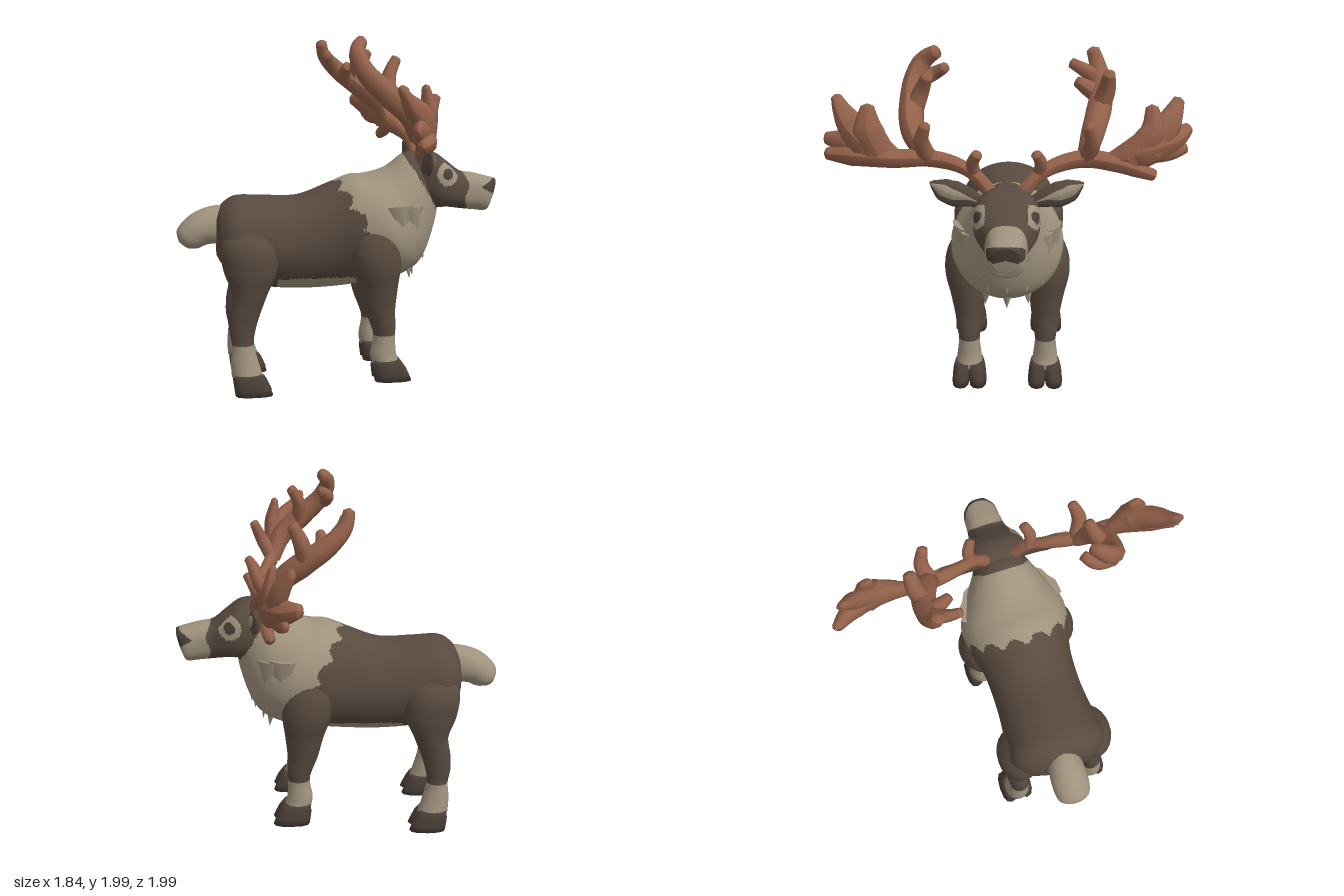
import * as THREE from 'three';

const colour = (name, color) => {
  const m = new THREE.MeshStandardMaterial({ color });
  m.name = name;
  return m;
};

// Closed skin over oval rings [x, y, z, height radius, z radius, tilt in degrees]
function loft(rings, { sub = 6, seg = 32, square = 1 } = {}) {
  const spline = new THREE.CubicInterpolant(rings.map((_, i) => i), rings.flat(), 6);
  const rows = [];
  const count = (rings.length - 1) * sub;
  for (let i = 0; i <= count; i++) rows.push([...spline.evaluate(i / sub)]);
  const shut = r => [r[0], r[1], r[2], 0, 0, r[5]];
  rows.unshift(shut(rows[0]));
  rows.push(shut(rows[rows.length - 1]));
  const pos = [], index = [];
  const bend = v => Math.sign(v) * Math.abs(v) ** square;
  rows.forEach(([x, y, z, a, b, tilt], i) => {
    const t = THREE.MathUtils.degToRad(tilt);
    for (let j = 0; j < seg; j++) {
      const th = j / seg * Math.PI * 2, c = a * bend(Math.cos(th));
      pos.push(x - Math.sin(t) * c, y + Math.cos(t) * c, z + b * bend(Math.sin(th)));
      if (i === rows.length - 1) continue;
      const p = i * seg + j, q = i * seg + (j + 1) % seg;
      index.push(p, q, p + seg, q, q + seg, p + seg);
    }
  });
  const g = new THREE.BufferGeometry();
  g.setAttribute('position', new THREE.Float32BufferAttribute(pos, 3));
  g.setIndex(index);
  g.computeVertexNormals();
  return g;
}

// Tapering tube through points; flat squeezes it along x
function horn(points, radii, { flat = 1, seg = 18, sides = 9 } = {}) {
  const path = new THREE.CatmullRomCurve3(points.map(p => new THREE.Vector3(...p)));
  const g = new THREE.TubeGeometry(path, seg, 1, sides);
  const pos = g.attributes.position, v = new THREE.Vector3();
  for (let i = 0; i < pos.count; i++) {
    const row = Math.floor(i / (sides + 1)), u = row / seg;
    const k = Math.min(u * (radii.length - 1), radii.length - 1.0001), n = Math.floor(k);
    const r = row === seg ? 0 : THREE.MathUtils.lerp(radii[n], radii[n + 1], k - n);
    const c = path.getPointAt(u);
    v.fromBufferAttribute(pos, i).sub(c).multiplyScalar(r);
    v.x *= flat;
    v.add(c);
    pos.setXYZ(i, v.x, v.y, v.z);
  }
  g.computeVertexNormals();
  return g;
}

// Sort faces into material groups by a rule on each face's centre
function paint(g, slots, rule) {
  const idx = g.index.array, pos = g.attributes.position;
  const bins = Array.from({ length: slots }, () => []);
  for (let i = 0; i < idx.length; i += 3) {
    const t = [idx[i], idx[i + 1], idx[i + 2]];
    const mid = f => (f(t[0]) + f(t[1]) + f(t[2])) / 3;
    bins[rule(mid(k => pos.getX(k)), mid(k => pos.getY(k)), mid(k => pos.getZ(k)))].push(...t);
  }
  g.setIndex(bins.flat());
  let start = 0;
  bins.forEach((b, m) => { g.addGroup(start, b.length, m); start += b.length; });
  return g;
}

export function createModel() {
  const brown = colour('brown coat', 0x584a3f);
  const cream = colour('cream fur', 0x9f927d);
  const dark = colour('dark hoof', 0x4a3e37);
  const antlerMat = colour('antler', 0x93614a);
  const model = new THREE.Group();
  model.name = 'reindeer';
  const add = (name, geo, mat, parent = model) => {
    const m = new THREE.Mesh(geo, mat);
    m.name = name;
    parent.add(m);
    return m;
  };

  // Body and neck, with cream ruff and belly
  const body = loft([
    [-.71, .87, 0, .12, .15, 0], [-.68, .87, 0, .17, .22, 0], [-.6, .86, 0, .23, .28, 0],
    [-.45, .83, 0, .26, .27, 0], [-.25, .82, 0, .27, .255, 0], [-.05, .855, 0, .3, .262, 4],
    [.1, .89, 0, .315, .3, 10], [.25, .915, 0, .312, .312, 20], [.37, .98, 0, .285, .25, 22],
    [.47, 1.13, 0, .215, .165, 23], [.53, 1.18, 0, .12, .12, 20],
  ], { sub: 10, seg: 96 });
  add('body', paint(body, 2, (x, y, z) => {
    if (y > 1 && x > .38 + (1.28 - y) * .6) return 0;
    const jag = .06 * Math.abs(Math.sin(8 * Math.atan2(z, y - .8)));
    if (x > -.07 + (1.19 - y) * .62 + jag) return 1;
    return y < .635 && x > -.37 ? 1 : 0;
  }), [brown, cream]);

  // Overlapping pointed tufts down the chest: [height, depth, width, count, length]
  const tufts = new THREE.Group();
  tufts.name = 'chestTufts';
  model.add(tufts);
  [[.91, .305, .285, 8, .22], [.82, .28, .265, 7, .22], [.71, .215, .2, 5, .23]].forEach(([y, depth, width, n, len]) => {
    for (let i = 0; i < n; i++) {
      const a = (i / (n - 1) - .5) * 2.4;
      const tuft = add('tuft', new THREE.ConeGeometry(.09, len, 6), cream, tufts);
      tuft.scale.z = .5;
      tuft.position.set(.2 + Math.cos(a) * depth, y + .04 * (1 - Math.cos(a)), Math.sin(a) * width);
      tuft.rotation.set(Math.PI - .12, Math.PI / 2 - a, 0, 'YXZ');
    }
  });

  // Head: cream muzzle and eye rings, dark nose
  const head = loft([
    [.42, 1.2, 0, .12, .12, 0], [.48, 1.185, 0, .15, .16, 0], [.55, 1.165, 0, .158, .178, 0],
    [.62, 1.14, 0, .134, .16, 0], [.7, 1.105, 0, .11, .118, 0], [.78, 1.093, 0, .107, .105, 0],
    [.86, 1.08, 0, .098, .098, -5], [.893, 1.095, 0, .072, .066, -14],
  ], { sub: 12, seg: 96, square: .78 });
  add('head', paint(head, 3, (x, y, z) => {
    if (Math.abs(y - 1.125) < (x - .81) * .55) return 2;
    const eye = Math.hypot(x - .6, y - 1.21);
    if (Math.abs(z) > .112 && eye < .066) return eye < .032 ? 2 : 1;
    return x > .725 + .012 * Math.sin(y * 40) ? 1 : 0;
  }), [brown, cream, dark]);

  // Tail
  add('tail', loft([
    [-.892, .815, 0, .04, .06, 55], [-.872, .85, 0, .08, .095, 45], [-.8, .905, 0, .098, .105, 22],
    [-.7, .93, 0, .108, .095, 10], [-.62, .95, 0, .08, .07, 0],
  ]), cream);

  // Legs with cream socks and cloven hooves
  const frontRings = [
    [.17, .99, .17, .08, .08], [.17, .86, .212, .135, .122], [.175, .72, .235, .14, .12],
    [.19, .58, .225, .11, .1], [.2, .46, .22, .088, .082], [.22, .36, .22, .07, .068],
    [.225, .3, .22, .063, .06], [.22, .2, .22, .074, .07], [.235, .14, .22, .08, .078],
  ];
  const hindRings = [
    [-.55, .98, .11, .09, .09], [-.54, .84, .2, .155, .125], [-.53, .7, .225, .15, .112],
    [-.535, .57, .23, .1, .088], [-.565, .45, .23, .085, .07], [-.58, .36, .23, .073, .06],
    [-.578, .28, .23, .062, .056], [-.57, .18, .235, .077, .065], [-.555, .1, .24, .088, .076],
  ];
  for (const side of [1, -1]) {
    for (const [name, rings, sock, ground] of [['frontLeg', frontRings, .31, .05], ['hindLeg', hindRings, .28, 0]]) {
      const leg = new THREE.Group();
      leg.name = name;
      model.add(leg);
      const posed = rings.map(([x, y, z, a, b]) => [x, y, side * z, a, b, -90]);
      add('limb', paint(loft(posed, { seg: 24, sub: 8 }), 2, (x, y) => (y < sock ? 1 : 0)), [brown, cream], leg);
      const [fx, , fz] = rings[rings.length - 1];
      for (const toe of [-1, 1]) {
        add('toe', loft([
          [fx, ground + .115, side * fz + toe * .032, .075, .05, -90],
          [fx + .015, ground + .07, side * fz + toe * .042, .095, .052, -90],
          [fx + .035, ground, side * fz + toe * .05, .105, .05, -90],
        ], { sub: 2, seg: 12, square: .8 }), dark, leg);
      }
    }

    // Ear with pale lining
    const earPath = [[.46, 1.24, .13], [.46, 1.275, .22], [.455, 1.3, .31], [.445, 1.35, .41]];
    const ear = (dx, dy) => earPath.map(([x, y, z]) => [x + dx, y + dy, side * z]);
    add('ear', horn(ear(0, 0), [.03, .055, .075, .064, .008], { flat: .4 }), brown);
    add('earLining', horn(ear(.02, 0), [0, .008, .036, .034, 0], { flat: .32 }), cream);
  }

  // Antlers: each branch is its points, its radii and, for the palm, its flatness
  const shared = s => [
    [[[.43, 1.39, .17 * s], [.46, 1.46, .18 * s], [.5, 1.53, .15 * s]], [.035, .034, .028]],
    [[[.36, 1.46, .42 * s], [.42, 1.56, .45 * s], [.47, 1.68, .42 * s]], [.05, .042, .028]],
  ];
  const root = s => [[.46, 1.29, .08 * s], [.44, 1.38, .16 * s], [.4, 1.43, .26 * s], [.365, 1.455, .42 * s]];
  const left = [
    [[...root(1), [.37, 1.455, .6], [.34, 1.46, .8], [.28, 1.45, .99]], [.04, .036, .045, .05, .055, .06, .03]],
    [[[.36, 1.46, .6], [.33, 1.55, .77], [.23, 1.66, .88], [.17, 1.75, .93]], [.05, .11, .075, .025], .55],
    [[[.36, 1.48, .68], [.36, 1.6, .73], [.34, 1.75, .735]], [.09, .085, .03], .55],
    [[[.35, 1.5, .72], [.29, 1.52, .87], [.25, 1.53, .99]], [.09, .075, .03], .6],
    [[[.36, 1.45, .42], [.3, 1.58, .5], [.17, 1.7, .52], [.07, 1.8, .51], [.03, 1.9, .46], [.07, 1.97, .37]],
      [.05, .065, .07, .062, .055, .035]],
    [[[.05, 1.79, .5], [.03, 1.83, .4], [.08, 1.88, .33]], [.05, .04, .028]],
    [[[.2, 1.67, .5], [.2, 1.78, .46], [.25, 1.88, .42]], [.05, .045, .03]],
  ];
  const right = [
    [[...root(-1), [.38, 1.43, -.6], [.38, 1.39, -.72], [.36, 1.355, -.8]], [.04, .036, .045, .05, .05, .045, .03]],
    [[[.37, 1.44, -.55], [.36, 1.51, -.74], [.29, 1.54, -.89], [.2, 1.58, -.985]], [.05, .1, .08, .03], .6],
    [[[.36, 1.5, -.74], [.31, 1.63, -.85], [.24, 1.76, -.92]], [.1, .08, .028], .55],
    [[[.38, 1.46, -.64], [.37, 1.6, -.76], [.34, 1.75, -.76]], [.08, .075, .03], .55],
    [[[.35, 1.5, -.76], [.31, 1.48, -.88], [.28, 1.49, -.97]], [.08, .055, .025], .6],
    [[[.36, 1.45, -.42], [.3, 1.58, -.46], [.17, 1.69, -.5], [.05, 1.78, -.51], [-.03, 1.87, -.49], [-.05, 1.96, -.46]],
      [.05, .065, .07, .062, .05, .035]],
    [[[.18, 1.68, -.5], [.2, 1.79, -.53], [.25, 1.9, -.54]], [.055, .05, .032]],
    [[[.03, 1.8, -.5], [-.01, 1.84, -.42], [-.03, 1.88, -.34]], [.05, .04, .028]],
    [[[.1, 1.73, -.49], [.09, 1.77, -.43], [.1, 1.81, -.37]], [.05, .045, .028]],
  ];
  for (const [name, branches, s] of [['leftAntler', left, 1], ['rightAntler', right, -1]]) {
    const antler = new THREE.Group();
    antler.name = name;
    model.add(antler);
    [...branches, ...shared(s)].forEach(([pts, radii, flat = .85]) =>
      add('branch', horn(pts, radii, { flat, seg: pts.length * 7 }), antlerMat, antler));
  }
  return model;
}
